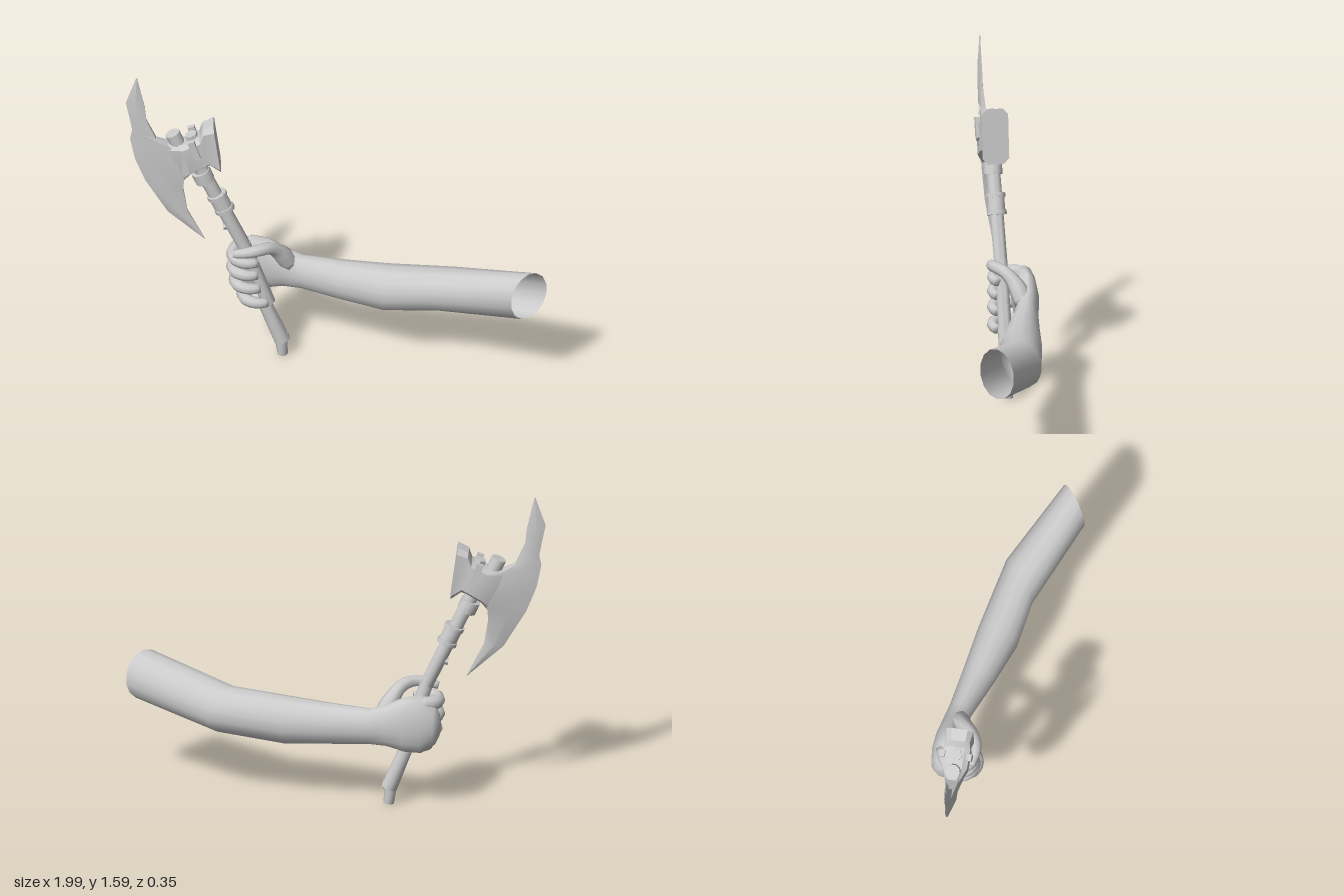
import * as THREE from 'three';
import { toCreasedNormals } from 'three/addons/utils/BufferGeometryUtils.js';

const V = (x, y, z = 0) => new THREE.Vector3(x, y, z);
const grey = new THREE.MeshStandardMaterial({ color: 0xcccccc });
const greyOpen = new THREE.MeshStandardMaterial({ color: 0xcccccc, side: THREE.DoubleSide });

function addMesh(parent, name, geometry, material = grey) {
  const mesh = new THREE.Mesh(geometry, material);
  mesh.name = name;
  parent.add(mesh);
  return mesh;
}

// Skin over rings that run counter-clockwise about the direction of travel
function loft(rings, capStart = true, capEnd = true) {
  const centre = (r) => r.reduce((s, p) => s.add(p), V(0, 0)).divideScalar(r.length);
  const point = (r) => { const c = centre(r); return r.map(() => c.clone()); };
  const all = [...rings];
  if (capStart) all.unshift(point(rings[0]));
  if (capEnd) all.push(point(rings[rings.length - 1]));
  const n = rings[0].length, index = [];
  for (let i = 0; i < all.length - 1; i++) {
    for (let j = 0; j < n; j++) {
      const a = i * n + j, b = i * n + (j + 1) % n;
      index.push(a, b, a + n, b, b + n, a + n);
    }
  }
  const g = new THREE.BufferGeometry().setFromPoints(all.flat());
  g.setIndex(index);
  g.computeVertexNormals();
  return g;
}

// Round digit along a curve, its radius read from a short list
function digit(points, radii) {
  const curve = new THREE.CatmullRomCurve3(points), steps = 14;
  const { normals, binormals } = curve.computeFrenetFrames(steps);
  const rings = [];
  for (let i = 0; i <= steps; i++) {
    const f = (i / steps) * (radii.length - 1), k = Math.min(Math.floor(f), radii.length - 2);
    const r = THREE.MathUtils.lerp(radii[k], radii[k + 1], f - k);
    const c = curve.getPointAt(i / steps);
    rings.push(Array.from({ length: 8 }, (_, j) => {
      const a = j / 8 * Math.PI * 2;
      return c.clone().addScaledVector(normals[i], Math.cos(a) * r).addScaledVector(binormals[i], Math.sin(a) * r);
    }));
  }
  return loft(rings);
}

// Straight round piece from a to b
function rod(parent, name, a, b, ra, rb = ra, sides = 10) {
  const d = b.clone().sub(a);
  const g = toCreasedNormals(new THREE.CylinderGeometry(rb, ra, d.length(), sides), 0.8);
  const mesh = addMesh(parent, name, g);
  mesh.position.copy(a).add(b).multiplyScalar(0.5);
  mesh.quaternion.setFromUnitVectors(V(0, 1), d.normalize());
  return mesh;
}

function makeArm() {
  const arm = new THREE.Group();
  arm.name = 'arm';
  // Each section: centre x, y, z, half height, half depth, slant in x
  const sections = [
    [-0.535, 0.455, -0.05, 0.055, 0.03, 0],
    [-0.515, 0.455, -0.055, 0.10, 0.052, 0],
    [-0.45, 0.46, -0.07, 0.15, 0.062, 0],
    [-0.37, 0.455, -0.085, 0.14, 0.058, 0],
    [-0.29, 0.445, -0.088, 0.108, 0.056, 0],
    [-0.20, 0.43, -0.088, 0.09, 0.057, 0],
    [0.0, 0.42, -0.078, 0.102, 0.08, 0],
    [0.21, 0.415, -0.072, 0.117, 0.102, 0],
    [0.50, 0.442, -0.082, 0.114, 0.098, 0.07],
    [0.925, 0.535, 0.022, 0.125, 0.082, 0.068],
  ];
  const rings = sections.map(([x, y, z, h, d, s]) => Array.from({ length: 14 }, (_, j) => {
    const a = j / 14 * Math.PI * 2, w = Math.sin(a);
    return V(x - s * w, y + h * Math.cos(a), z + d * w);
  }));
  addMesh(arm, 'forearmAndPalm', loft(rings, true, false), greyOpen);

  // Four fingers wrapped round the handle
  [0.555, 0.485, 0.41, 0.335].forEach((y, i) => {
    const s = [0, 0, 0.012, 0.05][i];
    const path = [[-0.45, 0.01, -0.07], [-0.505, 0.005, -0.035], [-0.513, 0, 0.02],
      [-0.485, 0, 0.068], [-0.43, -0.005, 0.078], [-0.385, -0.01, 0.055]];
    addMesh(arm, 'finger', digit(path.map(([px, dy, pz]) => V(px + s, y + dy, pz)),
      [0.036, 0.034, 0.031, 0.028, 0.022]));
  });

  // Thumb closing over the top of the grip
  addMesh(arm, 'thumb', digit([V(-0.26, 0.48, -0.075), V(-0.30, 0.56, -0.035), V(-0.335, 0.61, 0.015),
    V(-0.385, 0.62, 0.065), V(-0.44, 0.612, 0.085), V(-0.495, 0.6, 0.085)],
  [0.045, 0.044, 0.032, 0.029, 0.027, 0.02]));
  return arm;
}

function makeAxe() {
  const axe = new THREE.Group();
  axe.name = 'axe';

  // Blade: outer x, y, inner x, y, half thickness at middle and at inner edge
  const rows = [
    [-0.637, 0.665, -0.634, 0.667, 0.002, 0.001],
    [-0.805, 0.82, -0.715, 0.83, 0.014, 0.006],
    [-0.91, 1.0, -0.735, 0.955, 0.018, 0.014],
    [-0.958, 1.125, -0.73, 1.035, 0.02, 0.042],
    [-0.98, 1.24, -0.795, 1.21, 0.018, 0.034],
    [-0.97, 1.29, -0.86, 1.245, 0.015, 0.012],
    [-0.985, 1.37, -0.905, 1.35, 0.012, 0.005],
    [-1.0, 1.445, -0.912, 1.42, 0.01, 0.004],
    [-0.952, 1.588, -0.948, 1.588, 0.002, 0.001],
  ];
  const bladeRings = rows.map(([ox, oy, ix, iy, t, e]) => {
    const mx = (ox + ix) / 2, my = (oy + iy) / 2;
    return [V(ox, oy), V(mx, my, t), V(ix, iy, e), V(ix, iy, -e), V(mx, my, -t)];
  });
  addMesh(axe, 'blade', toCreasedNormals(loft(bladeRings), 0.6), greyOpen);

  // Head: chamfered sections from blade neck to hammer face
  const octagon = [[1, 0.6], [0.8, 1], [-0.8, 1], [-1, 0.6], [-1, -0.6], [-0.8, -1], [0.8, -1], [1, -0.6]];
  const headRings = [
    [-0.81, 1.215, -0.735, 1.01, 0.034],
    [-0.74, 1.225, -0.70, 1.06, 0.06],
    [-0.66, 1.265, -0.63, 1.105, 0.062],
    [-0.645, 1.315, -0.61, 1.11, 0.056],
    [-0.595, 1.34, -0.56, 1.075, 0.064],
  ].map(([tx, ty, bx, by, h]) => octagon.map(([u, w]) =>
    V(bx, by, h * w).lerp(V(tx, ty, h * w), (u + 1) / 2)));
  addMesh(axe, 'head', toCreasedNormals(loft(headRings), 0.6));
  rod(axe, 'headPeg', V(-0.745, 1.18), V(-0.785, 1.272), 0.035);
  rod(axe, 'headWedge', V(-0.675, 1.2), V(-0.70, 1.268), 0.03, 0.03, 6);

  // Pointed straps on both cheeks of the head
  const strap = new THREE.Shape([[-0.715, 1.262], [-0.685, 1.272], [-0.655, 1.18], [-0.665, 1.16], [-0.69, 1.18]]
    .map(([x, y]) => new THREE.Vector2(x, y)));
  for (const side of [-1, 1]) {
    const g = new THREE.ExtrudeGeometry(strap, { depth: 0.022, bevelEnabled: false });
    addMesh(axe, 'strap', g).position.z = side * 0.064 - 0.011;
  }

  // Handle, collars and grip
  rod(axe, 'handle', V(-0.45, 0.62), V(-0.69, 1.15), 0.032, 0.034);
  rod(axe, 'handle', V(-0.34, 0.3), V(-0.455, 0.635), 0.032);
  rod(axe, 'collar', V(-0.632, 1.0), V(-0.655, 1.055), 0.046);
  rod(axe, 'collar', V(-0.543, 0.835), V(-0.583, 0.925), 0.042);
  rod(axe, 'collarBand', V(-0.541, 0.83), V(-0.549, 0.85), 0.048);
  rod(axe, 'collarBand', V(-0.574, 0.905), V(-0.582, 0.925), 0.048);
  rod(axe, 'stud', V(-0.49, 0.75), V(-0.55, 0.74), 0.02, 0.02, 6);
  rod(axe, 'grip', V(-0.277, 0.085), V(-0.368, 0.32), 0.038, 0.031);
  rod(axe, 'gripRing', V(-0.354, 0.3), V(-0.366, 0.33), 0.04);
  rod(axe, 'pommel', V(-0.275, 0.005), V(-0.284, 0.1), 0.024, 0.03, 8);
  rod(axe, 'pommelSpur', V(-0.265, 0.125), V(-0.248, 0.085), 0.016, 0.007, 6);

  // Swing the flat axe slightly forward on its blade side
  axe.scale.x = 1.025;
  axe.rotation.y = 0.222;
  axe.position.z = -0.061;
  return axe;
}

export function createModel() {
  const model = new THREE.Group();
  model.name = 'armHoldingAxe';
  model.add(makeArm(), makeAxe());
  return model;
}
